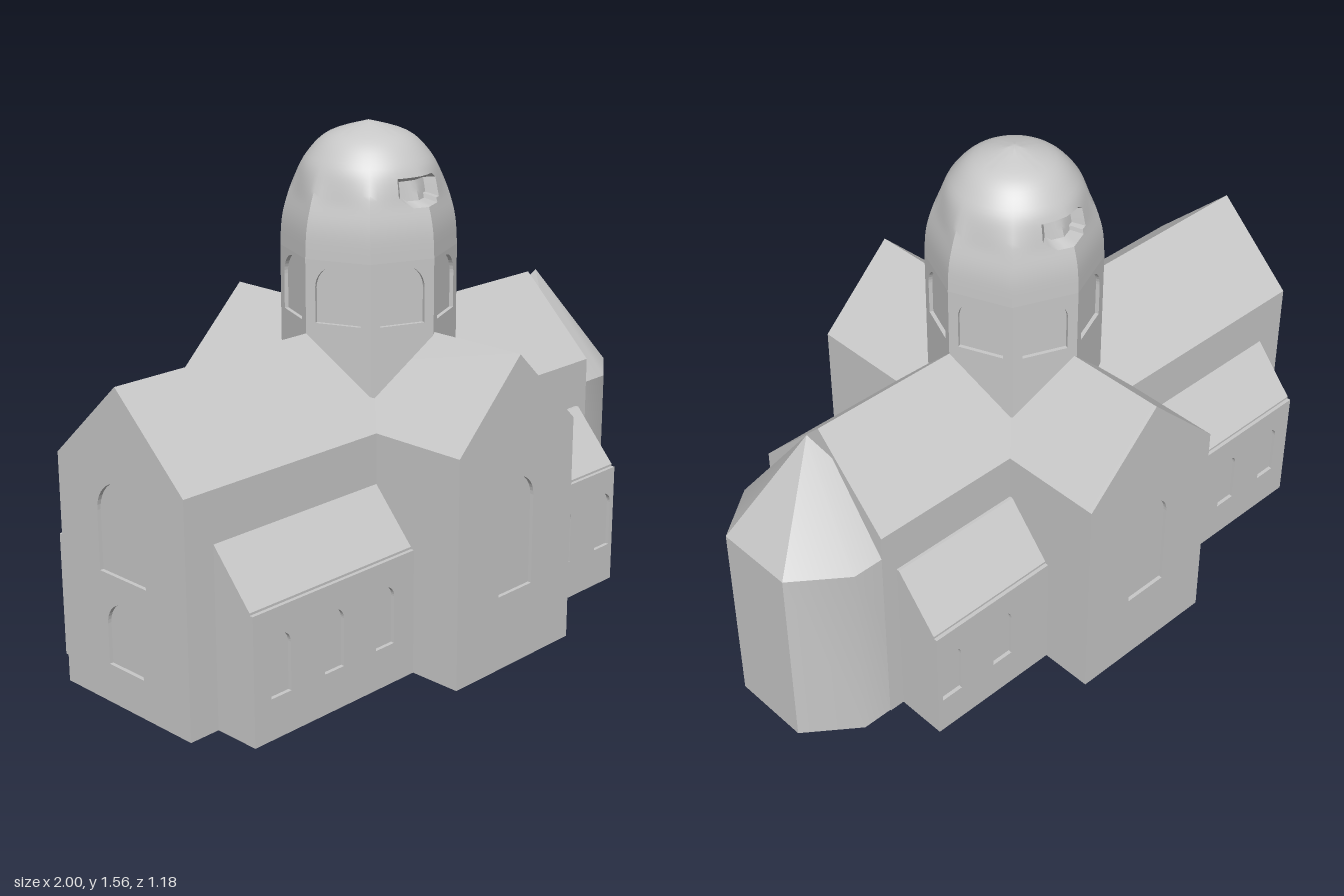
import * as THREE from 'three';
import { toCreasedNormals } from 'three/addons/utils/BufferGeometryUtils.js';

const stone = new THREE.MeshStandardMaterial({ color: 0xc8c8c8 });
stone.name = 'grey stone';

const INSET = 0.012; // depth of the window recesses

function add(parent, name, geometry) {
  const mesh = new THREE.Mesh(geometry, stone);
  mesh.name = name;
  parent.add(mesh);
  return mesh;
}

const polygon = (points) => new THREE.Shape(points.map(([x, y]) => new THREE.Vector2(x, y)));

const extrude = (shape, depth) =>
  new THREE.ExtrudeGeometry(shape, { depth, bevelEnabled: false, curveSegments: 10 });

const gable = (w, eave, ridge) => [[-w, 0], [w, 0], [w, eave], [0, ridge], [-w, eave]];

// Round-headed window outline
function arch(x, bottom, top, width) {
  const r = width / 2;
  const path = new THREE.Path();
  path.moveTo(x - r, bottom);
  path.lineTo(x + r, bottom);
  path.lineTo(x + r, top - r);
  path.absarc(x, top - r, r, 0, Math.PI, false);
  path.lineTo(x - r, bottom);
  return path;
}

// Thin wall skin with arched openings, laid over a solid body
function windowWall(points, windows) {
  const shape = polygon(points);
  windows.forEach((w) => shape.holes.push(arch(...w)));
  return extrude(shape, INSET);
}

// Solid with a profile across z, running along x
const alongX = (points, x0, x1) =>
  extrude(polygon(points), x1 - x0).rotateY(Math.PI / 2).translate(x0, 0, 0);

function addNave(group) {
  const west = gable(0.27, 0.71, 0.96);
  add(group, 'naveWest', alongX(west, -1 + INSET, 0));
  add(group, 'naveEast', alongX(gable(0.255, 0.71, 0.96), 0, 0.74));
  const wall = windowWall(west, [[0, 0.4, 0.68, 0.2], [0, 0.12, 0.32, 0.15]]);
  add(group, 'westWall', wall.rotateY(-Math.PI / 2).translate(-1 + INSET, 0, 0));
}

function addTransept(group) {
  const profile = gable(0.255, 0.71, 0.96);
  const half = 0.59 - INSET;
  add(group, 'transept', extrude(polygon(profile), half * 2).translate(-0.015, 0, -half));
  for (const turn of [0, Math.PI]) {
    const wall = windowWall(profile, [[0, 0.235, 0.59, 0.15]]);
    add(group, 'transeptWall', wall.translate(0, 0, half).rotateY(turn).translate(-0.015, 0, 0));
  }
}

// Low side aisles with lean-to roofs on both sides of the nave
function addAisle(group, x0, x1, windowXs) {
  const z = 0.42 - INSET;
  const side = [[z, 0], [z, 0.397], [0.265, 0.56]];
  const mirrored = side.map(([a, b]) => [-a, b]).reverse();
  add(group, 'aisle', alongX([...side, ...mirrored], x0, x1));
  const outline = [[x0, 0], [x1, 0], [x1, 0.39], [x0, 0.39]];
  for (const offset of [z, -z - INSET]) {
    const wall = windowWall(outline, windowXs.map((x) => [x, 0.125, 0.31, 0.075]));
    add(group, 'aisleWall', wall.translate(0, 0, offset));
  }
}

// Polygonal apse with a pointed roof
function addApse(group) {
  const plan = [[0.6, 0.252], [0.84, 0.252], [1, 0.13], [1, -0.13], [0.84, -0.252], [0.6, -0.252]];
  const walls = extrude(polygon(plan), 0.63).rotateX(-Math.PI / 2);
  add(group, 'apseWalls', toCreasedNormals(walls, 0.75));
  const corners = [];
  plan.forEach(([x, z], i) => {
    const [nx, nz] = plan[(i + 1) % plan.length];
    corners.push(x, 0.63, z, nx, 0.63, nz, 0.78, 0.96, 0);
  });
  const roof = new THREE.BufferGeometry();
  roof.setAttribute('position', new THREE.Float32BufferAttribute(corners, 3));
  add(group, 'apseRoof', toCreasedNormals(roof, 0.7));
}

// Octagonal drum and a dome that eases from octagon to round
function addTower(group) {
  const tower = new THREE.Group();
  tower.name = 'tower';
  tower.position.x = -0.022;
  group.add(tower);

  const step = Math.PI / 4;
  const R = 0.265;
  const apothem = R * Math.cos(step / 2);
  const half = R * Math.sin(step / 2);
  const coreR = (apothem - INSET) / Math.cos(step / 2);
  const core = new THREE.CylinderGeometry(coreR, coreR, 0.68, 8).toNonIndexed();
  core.computeVertexNormals();
  add(tower, 'drumCore', core.translate(0, 0.84, 0));
  for (let i = 0; i < 8; i++) {
    const outline = [[-half, 0.65], [half, 0.65], [half, 1.185], [-half, 1.185]];
    const panel = windowWall(outline, [[0, 0.995, 1.172, 0.142]]);
    add(tower, 'drumWall', panel.translate(0, 0, apothem - INSET).rotateY((i + 0.5) * step));
  }

  const profile = new THREE.SplineCurve([
    [R, 1.185], [0.26, 1.26], [0.247, 1.32], [0.222, 1.39], [0.185, 1.46], [0.12, 1.522], [0, 1.56],
  ].map(([r, y]) => new THREE.Vector2(r, y))).getPoints(30);
  const dome = new THREE.LatheGeometry(profile, 64);
  const pos = dome.attributes.position;
  for (let i = 0; i < pos.count; i++) {
    const x = pos.getX(i), y = pos.getY(i), z = pos.getZ(i);
    const angle = (Math.atan2(x, z) + Math.PI * 2 + 1e-6) % step;
    const octagon = Math.cos(step / 2) / Math.cos(angle - step / 2);
    let k = THREE.MathUtils.lerp(octagon, 1, THREE.MathUtils.smoothstep(y, 1.33, 1.46));
    // small notches at the front and back of the dome
    if (Math.abs(x) < 0.068 && Math.abs(z) > 0.1 && y > 1.335 && y < 1.415) k *= 0.85;
    pos.setXYZ(i, x * k, y, z * k);
  }
  add(tower, 'dome', toCreasedNormals(dome, 0.6));
}

export function createModel() {
  const group = new THREE.Group();
  group.name = 'church';
  addNave(group);
  addTransept(group);
  addAisle(group, -0.9, -0.2, [-0.8, -0.595, -0.39]);
  addAisle(group, 0.2, 0.69, [0.43, 0.635]);
  addApse(group);
  addTower(group);
  return group;
}
